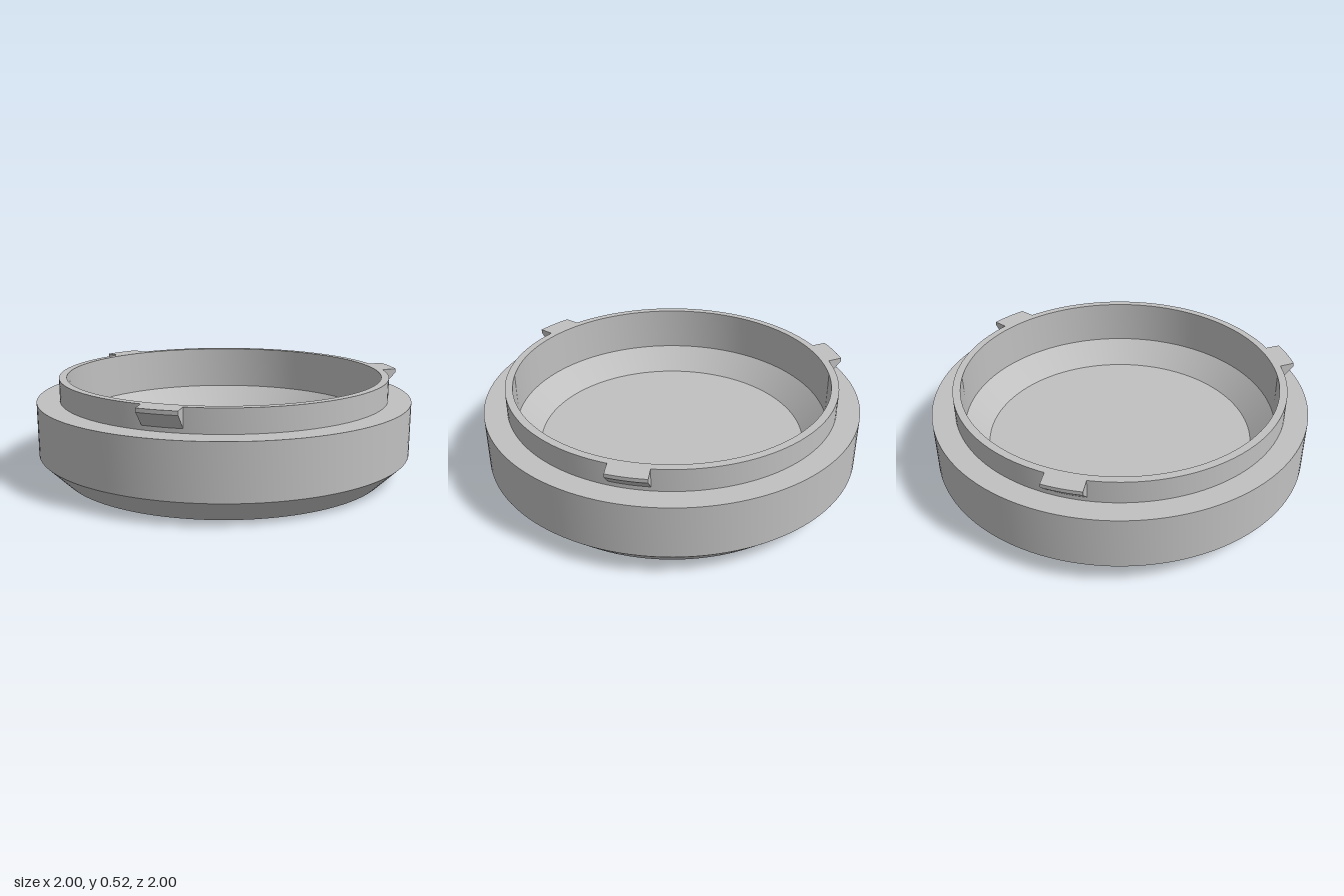
import * as THREE from 'three';
import { toCreasedNormals } from 'three/addons/utils/BufferGeometryUtils.js';

const gray = new THREE.MeshStandardMaterial({ color: 0xc0c0c0 });
gray.name = 'light gray';

const WALL_R = 0.88; // outer radius of the raised rim
const LUG_R = 0.96; // outer radius of the locking lugs

// Hollow cap: chamfered base, shoulder ledge, thin raised rim, chamfered cavity
function makeCap() {
  const profile = [
    [0, 0], [WALL_R, 0], [1, 0.12], [1, 0.4], [WALL_R, 0.4],
    [WALL_R, 0.52], [0.84, 0.52], [0.84, 0.28], [0.72, 0.16], [0, 0.16],
  ].map(([r, y]) => new THREE.Vector2(r, y));
  const cap = new THREE.Mesh(toCreasedNormals(new THREE.LatheGeometry(profile, 128), 0.5), gray);
  cap.name = 'capBody';
  return cap;
}

// Locking lug: parallel sides, curved outer face, underside sloping in to the wall
function makeLug() {
  const geometry = new THREE.BoxGeometry(0.2, 1, 1, 10, 1, 1).translate(-0.1, 0, 0);
  const p = geometry.attributes.position;
  for (let i = 0; i < p.count; i++) {
    const x = p.getX(i);
    const outer = p.getZ(i) > 0;
    const r = outer ? LUG_R : WALL_R - 0.002;
    const y = p.getY(i) > 0 ? 0.52 : outer ? 0.5 : 0.42;
    p.setXYZ(i, x, y, Math.sqrt(r * r - x * x));
  }
  return new THREE.Mesh(toCreasedNormals(geometry, 0.5), gray);
}

export function createModel() {
  const model = new THREE.Group();
  model.name = 'bayonetCap';
  model.add(makeCap());

  // Three lugs evenly spaced around the rim
  for (let i = 0; i < 3; i++) {
    const lug = makeLug();
    lug.name = `lockingLug${i + 1}`;
    lug.rotation.y = (i * Math.PI * 2) / 3;
    model.add(lug);
  }
  return model;
}
